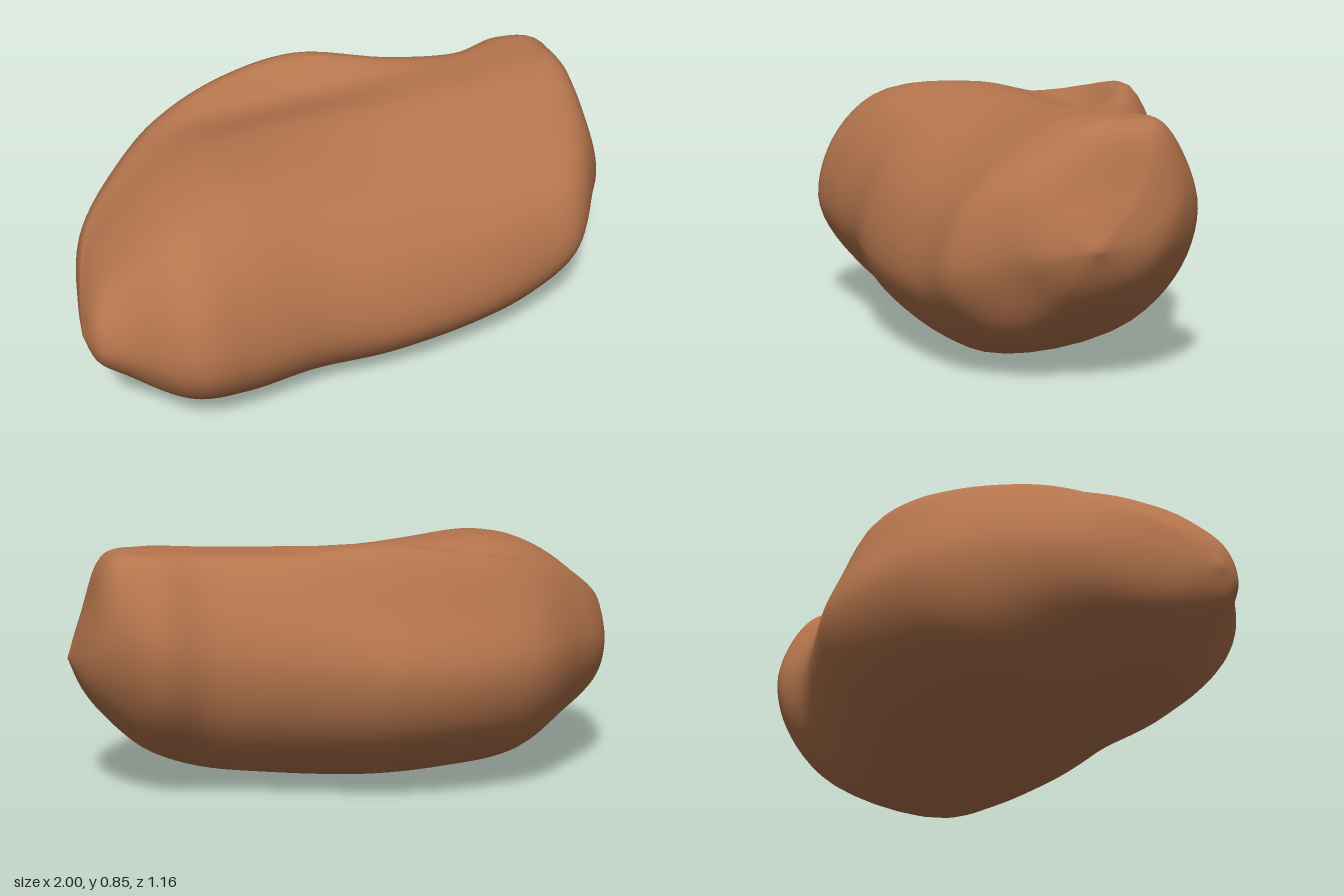
import * as THREE from 'three';
import { mergeVertices } from 'three/addons/utils/BufferGeometryUtils.js';

const AROUND = 64, ALONG = 80;

// Extents along the length: x, back z, front z, bottom y, top y
const EXTENTS = [
  [-1, 0.28, 0.28, 0.42, 0.42],
  [-0.97, 0.14, 0.37, 0.33, 0.52],
  [-0.88, -0.13, 0.43, 0.23, 0.63],
  [-0.7, -0.335, 0.57, 0.12, 0.76],
  [-0.5, -0.505, 0.56, 0.04, 0.81],
  [-0.25, -0.575, 0.53, 0.02, 0.81],
  [0.03, -0.575, 0.54, 0.01, 0.81],
  [0.35, -0.455, 0.51, 0.025, 0.815],
  [0.58, -0.37, 0.465, 0.055, 0.82],
  [0.75, -0.385, 0.42, 0.13, 0.83],
  [0.88, -0.3, 0.27, 0.25, 0.81],
  [0.95, -0.19, 0.17, 0.34, 0.62],
  [1, 0.02, 0.02, 0.45, 0.45],
];

// Outline within the extents, from the bottom up the front and down the back:
// depth, height, height change towards the left end, height change at the ridge
const OUTLINE = [
  [0.74, 0], [0.91, 0.15, -0.02], [1, 0.39, -0.08], [0.94, 0.73, -0.14],
  [0.77, 0.97, -0.17], [0.5, 1, -0.02], [0.29, 0.95, 0.04, -0.03],
  [0.17, 0.92, 0.05, 0.11], [0.06, 0.75, 0.05], [0, 0.51, 0.04],
  [0.07, 0.25, 0.03], [0.29, 0.05],
];

// Smooth closed cross-section at one place along the length
function section([x, back, front, bottom, top]) {
  const left = THREE.MathUtils.smoothstep(x, -0.5, 0.5);
  const ridge = Math.exp(-(((x + 0.08) / 0.3) ** 2));
  const pts = OUTLINE.map(([depth, height, slope = 0, bump = 0]) => new THREE.Vector3(
    x,
    THREE.MathUtils.lerp(bottom, top, height + slope * left + bump * ridge),
    THREE.MathUtils.lerp(back, front, depth)));
  const curve = new THREE.CatmullRomCurve3(pts, true);
  return Array.from({ length: AROUND }, (_, j) => curve.getPoint(j / AROUND));
}

// Smooth skin through all sections
function loft(sections) {
  const rails = Array.from({ length: AROUND }, (_, j) =>
    new THREE.CatmullRomCurve3(sections.map((s) => s[j])));
  const pos = [], index = [];
  for (let i = 0; i <= ALONG; i++) {
    for (const rail of rails) pos.push(...rail.getPoint(i / ALONG).toArray());
  }
  for (let i = 0; i < ALONG; i++) {
    for (let j = 0; j < AROUND; j++) {
      const k = (j + 1) % AROUND;
      const a = i * AROUND + j, b = a + AROUND, c = i * AROUND + k, d = c + AROUND;
      index.push(a, b, c, b, d, c);
    }
  }
  const geo = new THREE.BufferGeometry();
  geo.setAttribute('position', new THREE.Float32BufferAttribute(pos, 3));
  geo.setIndex(index);
  const welded = mergeVertices(geo, 1e-4);
  welded.computeVertexNormals();
  return welded;
}

export function createModel() {
  const group = new THREE.Group();
  group.name = 'boulder';
  const stone = new THREE.MeshStandardMaterial({ color: 0xb5754d });
  stone.name = 'brown stone';

  const rock = new THREE.Mesh(loft(EXTENTS.map(section)), stone);
  rock.name = 'rock';
  group.add(rock);
  return group;
}
